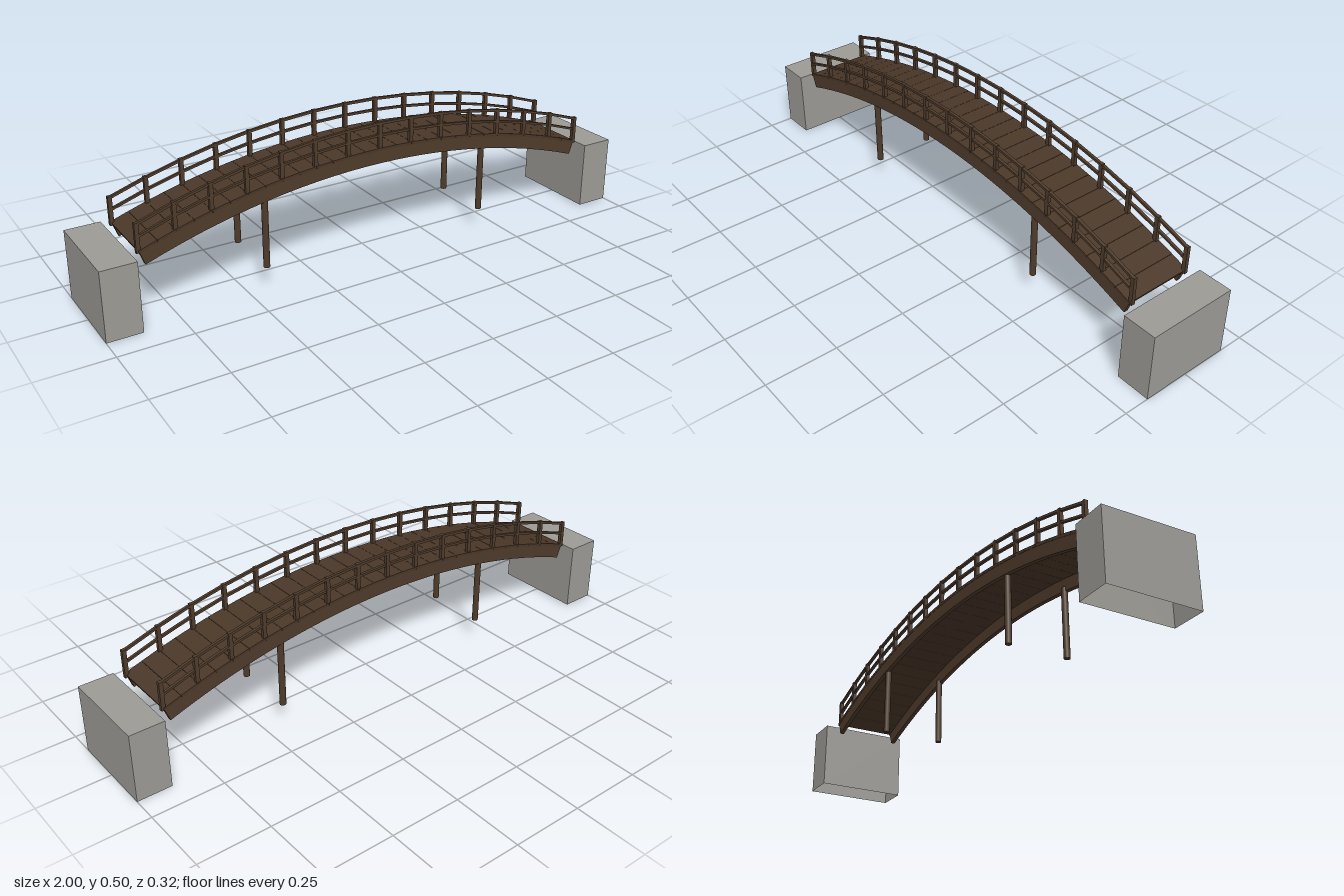
import * as THREE from 'three';

const HALF = 0.86, TOP = 0.404, RISE = 0.15;
const R = (HALF * HALF + RISE * RISE) / (2 * RISE);
const BAYS = 14;

// Height of the walking surface and its slope angle at x
const deckY = x => TOP - R + Math.sqrt(R * R - x * x);
const tilt = x => -Math.asin(x / R);

export function createModel() {
  const mat = (name, color) => {
    const m = new THREE.MeshStandardMaterial({ color });
    m.name = name;
    return m;
  };
  const deckWood = mat('deck wood', 0x4a3728);
  const timber = mat('timber', 0x4e3b2b);
  const concrete = mat('concrete', 0x9c9a95);
  concrete.side = THREE.DoubleSide;

  const model = new THREE.Group();
  model.name = 'footbridge';
  const add = (name, geometry, material, x, y, z, parent = model) => {
    const mesh = new THREE.Mesh(geometry, material);
    mesh.name = name;
    mesh.position.set(x, y, z);
    parent.add(mesh);
    return mesh;
  };

  // Beam that follows the arch; vertical rails or square-cut girder ends
  const archBeam = (top, bottom, width, segments, squareEnds) => {
    const points = [];
    const edge = (offset, i) => {
      const x = -HALF + 2 * HALF * i / segments;
      const a = squareEnds ? tilt(x) : 0;
      points.push(new THREE.Vector2(x - Math.sin(a) * offset, deckY(x) + Math.cos(a) * offset));
    };
    for (let i = 0; i <= segments; i++) edge(bottom, i);
    for (let i = segments; i >= 0; i--) edge(top, i);
    return new THREE.ExtrudeGeometry(new THREE.Shape(points), { depth: width, bevelEnabled: false })
      .translate(0, 0, -width / 2);
  };

  // Deck planks, tilted along the arch
  const deck = new THREE.Group();
  deck.name = 'deck';
  model.add(deck);
  const planks = BAYS * 2, step = 2 * HALF / planks;
  for (let i = 0; i < planks; i++) {
    const x = -HALF + (i + 0.5) * step, a = tilt(x);
    const plank = new THREE.BoxGeometry(step / Math.cos(a) - 0.0008, 0.01, 0.242);
    add('plank', plank, deckWood, x, deckY(x) - 0.005, 0, deck).rotation.z = a;
  }

  // Girders, railings and piers on both sides
  const girder = archBeam(-0.008, -0.054, 0.015, planks, true);
  const topRail = archBeam(0.09, 0.081, 0.01, BAYS, false);
  const midRail = archBeam(0.048, 0.040, 0.01, BAYS, false);
  const post = new THREE.BoxGeometry(0.014, 0.1, 0.013);
  const pier = new THREE.CylinderGeometry(0.011, 0.011, 0.25, 12);
  for (const side of [1, -1]) {
    const z = side * 0.1125;
    add('girder', girder, timber, 0, 0, z);
    const railing = new THREE.Group();
    railing.name = 'railing';
    model.add(railing);
    add('topRail', topRail, timber, 0, 0, z, railing);
    add('middleRail', midRail, timber, 0, 0, z, railing);
    for (let i = 0; i <= BAYS; i++) {
      const x = -HALF + 2 * HALF * i / BAYS;
      add('post', post, timber, x, deckY(x) + 0.041, z, railing);
    }
    for (const x of [-0.43, 0.43]) add('pier', pier, timber, x, 0.2, side * 0.107);
  }

  // Abutments, open underneath
  const block = new THREE.BoxGeometry(0.12, 0.242, 0.324);
  block.setIndex([...block.index.array].filter((_, i) => i < 18 || i >= 24));
  block.clearGroups();
  for (const side of [1, -1]) add('abutment', block, concrete, side * 0.94, 0.121, 0);

  return model;
}
